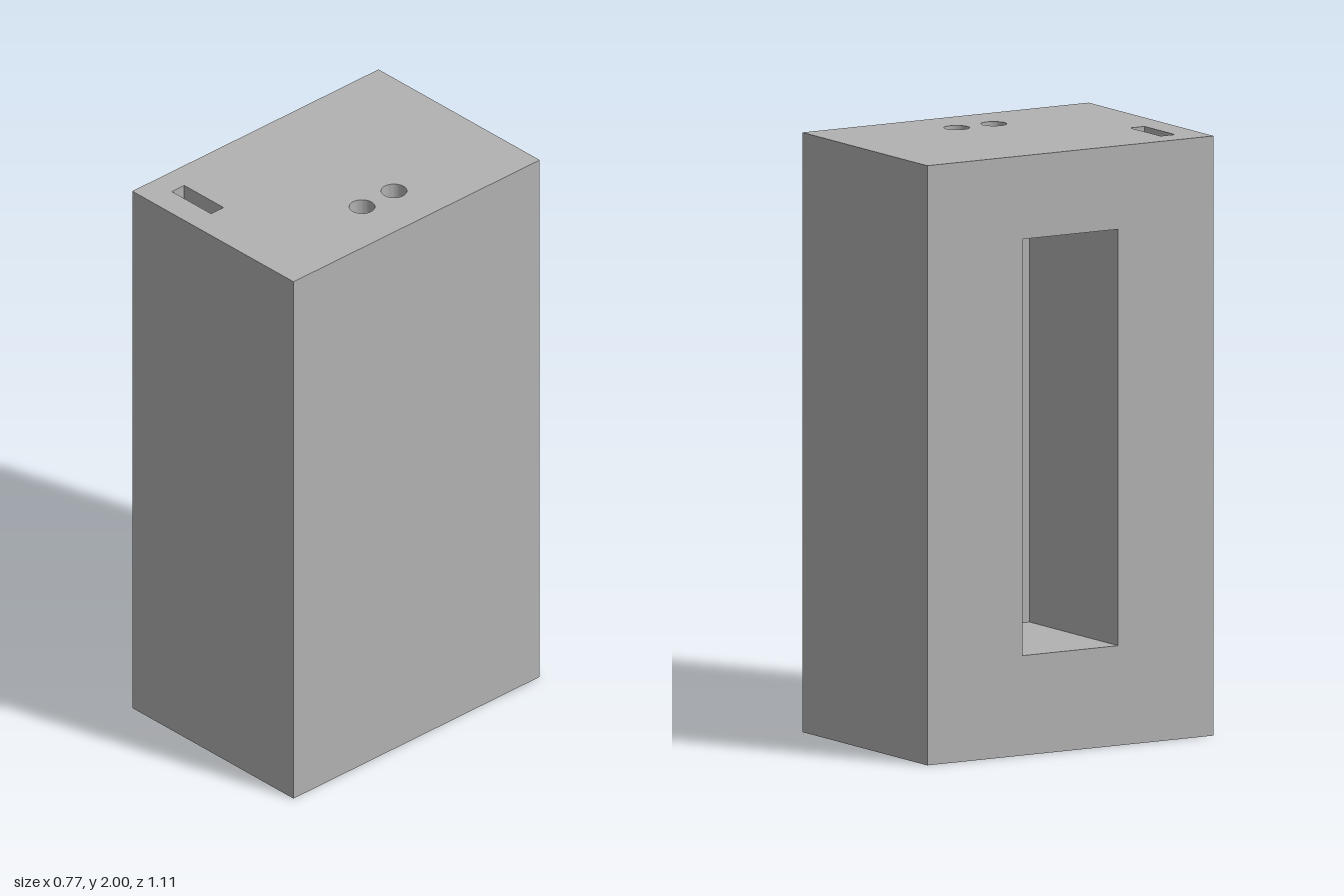
import * as THREE from 'three';
import { toCreasedNormals } from 'three/addons/utils/BufferGeometryUtils.js';

const W = 0.775, H = 2, D = 1.11;
const grey = new THREE.MeshStandardMaterial({ color: 0xb2b2b2 });
grey.name = 'matt grey';

function mesh(geometry, name) {
  const m = new THREE.Mesh(geometry, grey);
  m.name = name;
  return m;
}

// Counter-clockwise outlines
const rect = (x0, y0, x1, y1) => [[x0, y0], [x1, y0], [x1, y1], [x0, y1]].map(p => new THREE.Vector2(...p));
const circle = (x, y, r, n = 48) => Array.from({ length: n }, (_, i) => {
  const a = (i / n) * Math.PI * 2;
  return new THREE.Vector2(x + r * Math.cos(a), y + r * Math.sin(a));
});

// Inward-facing side walls of a recess sunk below z = 0
function recessWalls(outline, depth) {
  const pos = [];
  outline.forEach((a, i) => {
    const b = outline[(i + 1) % outline.length];
    pos.push(a.x, a.y, 0, b.x, b.y, 0, b.x, b.y, -depth);
    pos.push(a.x, a.y, 0, b.x, b.y, -depth, a.x, a.y, -depth);
  });
  const g = new THREE.BufferGeometry();
  g.setAttribute('position', new THREE.Float32BufferAttribute(pos, 3));
  return toCreasedNormals(g, Math.PI / 6);
}

// Rectangular face looking along +z, with blind recesses cut into it
function panel(name, w, h, recesses = []) {
  const group = new THREE.Group();
  group.name = name;
  const shape = new THREE.Shape(rect(-w / 2, -h / 2, w / 2, h / 2));
  for (const { part, outline, depth } of recesses) {
    shape.holes.push(new THREE.Path(outline));
    const floor = new THREE.ShapeGeometry(new THREE.Shape(outline)).translate(0, 0, -depth);
    group.add(mesh(recessWalls(outline, depth), part + 'Walls'), mesh(floor, part + 'Floor'));
  }
  group.add(mesh(new THREE.ShapeGeometry(shape), name + 'Face'));
  return group;
}

export function createModel() {
  const model = new THREE.Group();
  model.name = 'housing';
  const place = (p, x, y, z, rx, ry) => {
    p.position.set(x, y, z);
    p.rotation.set(rx, ry, 0);
    model.add(p);
  };
  const q = Math.PI / 2;

  // Plain sides and base
  place(panel('front', W, H), 0, H / 2, D / 2, 0, 0);
  place(panel('back', W, H), 0, H / 2, -D / 2, 0, Math.PI);
  place(panel('leftSide', D, H), W / 2, H / 2, 0, 0, q);
  place(panel('base', W, D), 0, 0, 0, q, 0);

  // Right side with its tall pocket
  place(panel('rightSide', D, H, [
    { part: 'pocket', outline: rect(-0.185, -0.667, 0.185, 0.722), depth: 0.55 },
  ]), -W / 2, H / 2, 0, 0, -q);

  // Top with a slot and two round sockets
  place(panel('top', W, D, [
    { part: 'slot', outline: rect(-0.297, -0.462, -0.108, -0.406), depth: 0.12 },
    { part: 'rearSocket', outline: circle(0.2, 0.074, 0.0425), depth: 0.12 },
    { part: 'frontSocket', outline: circle(0.2, -0.07, 0.0425), depth: 0.12 },
  ]), 0, H, 0, -q, 0);

  return model;
}
